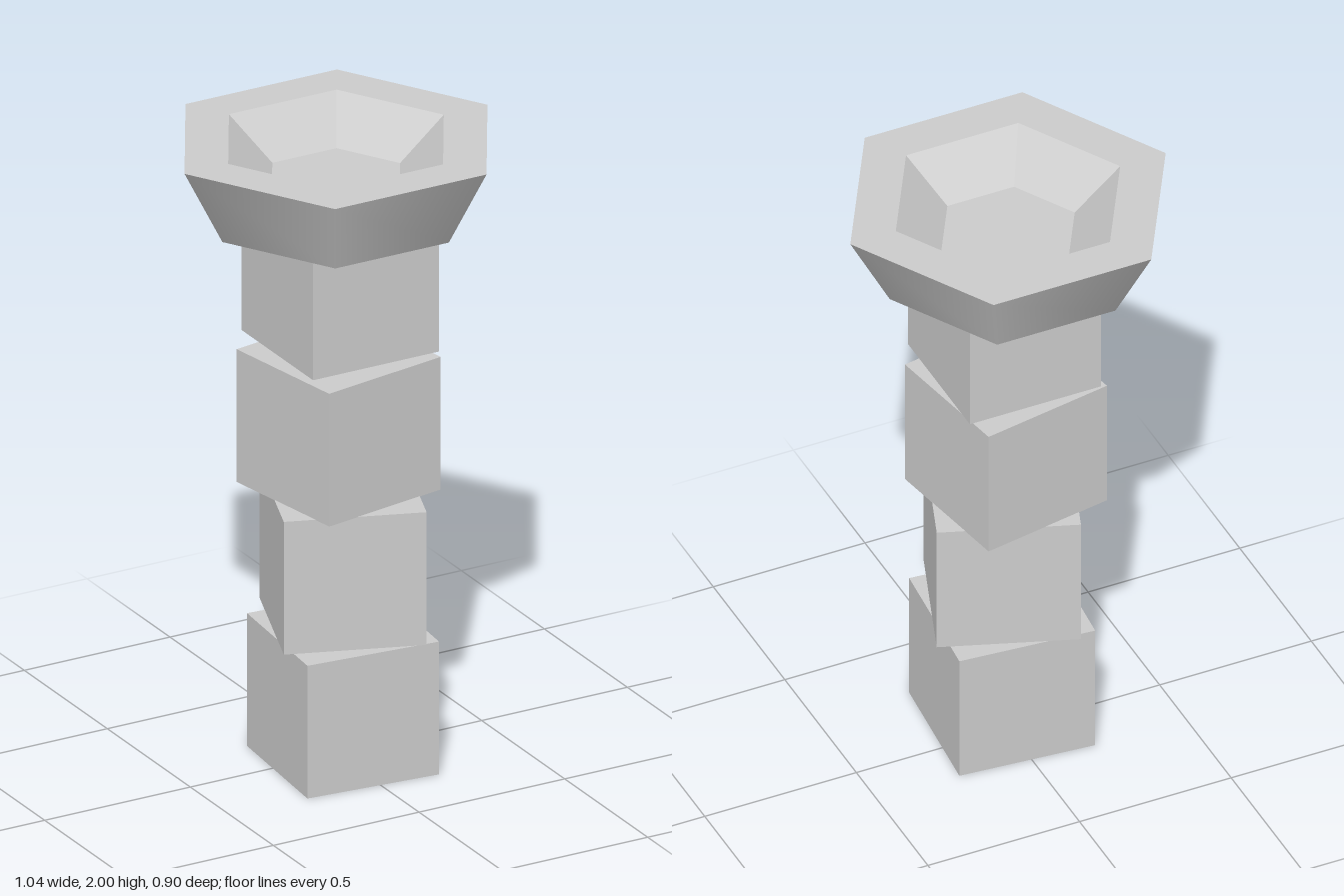
import * as THREE from 'three';

const SIDE = 0.432;

// Six-sided shell revolved from [radius, y] points, with corners on the x axis
function hexShell(name, profile, faceted) {
  const points = profile.map(([r, y]) => new THREE.Vector2(r, y));
  let geometry = new THREE.LatheGeometry(points, 6, Math.PI / 2);
  if (faceted) {
    geometry = geometry.toNonIndexed();
    geometry.computeVertexNormals();
  }
  const material = new THREE.MeshStandardMaterial({ color: 0xcccccc, flatShading: faceted });
  const mesh = new THREE.Mesh(geometry, material);
  mesh.name = name;
  return mesh;
}

export function createModel() {
  const model = new THREE.Group();
  model.name = 'stackedBlockPedestal';

  // Column of loosely stacked, twisted cubes: [bottom y, x, z, twist in degrees]
  const column = new THREE.Group();
  column.name = 'column';
  const material = new THREE.MeshStandardMaterial({ color: 0xcccccc });
  const blocks = [
    [0, -0.005, 0.051, -5],
    [0.452, -0.005, 0.051, -20],
    [0.883, -0.005, 0.025, 10],
    [1.354, 0, 0.025, 0],
  ];
  blocks.forEach(([y, x, z, twist], i) => {
    const block = new THREE.Mesh(new THREE.BoxGeometry(SIDE, SIDE, SIDE), material);
    block.name = `block${i + 1}`;
    block.position.set(x, y + SIDE / 2, z);
    block.rotation.y = THREE.MathUtils.degToRad(twist);
    column.add(block);
  });

  // Flared hexagonal bowl: smooth outer wall, faceted base, rim and hollow
  const bowl = new THREE.Group();
  bowl.name = 'bowl';
  bowl.add(
    hexShell('bowlBase', [[0, 1.75], [0.39, 1.75]], true),
    hexShell('bowlWall', [[0.39, 1.75], [0.52, 2]], false),
    hexShell('bowlRimAndHollow', [[0.52, 2], [0.37, 2], [0.22, 1.875], [0, 1.875]], true),
  );

  model.add(column, bowl);
  return model;
}
